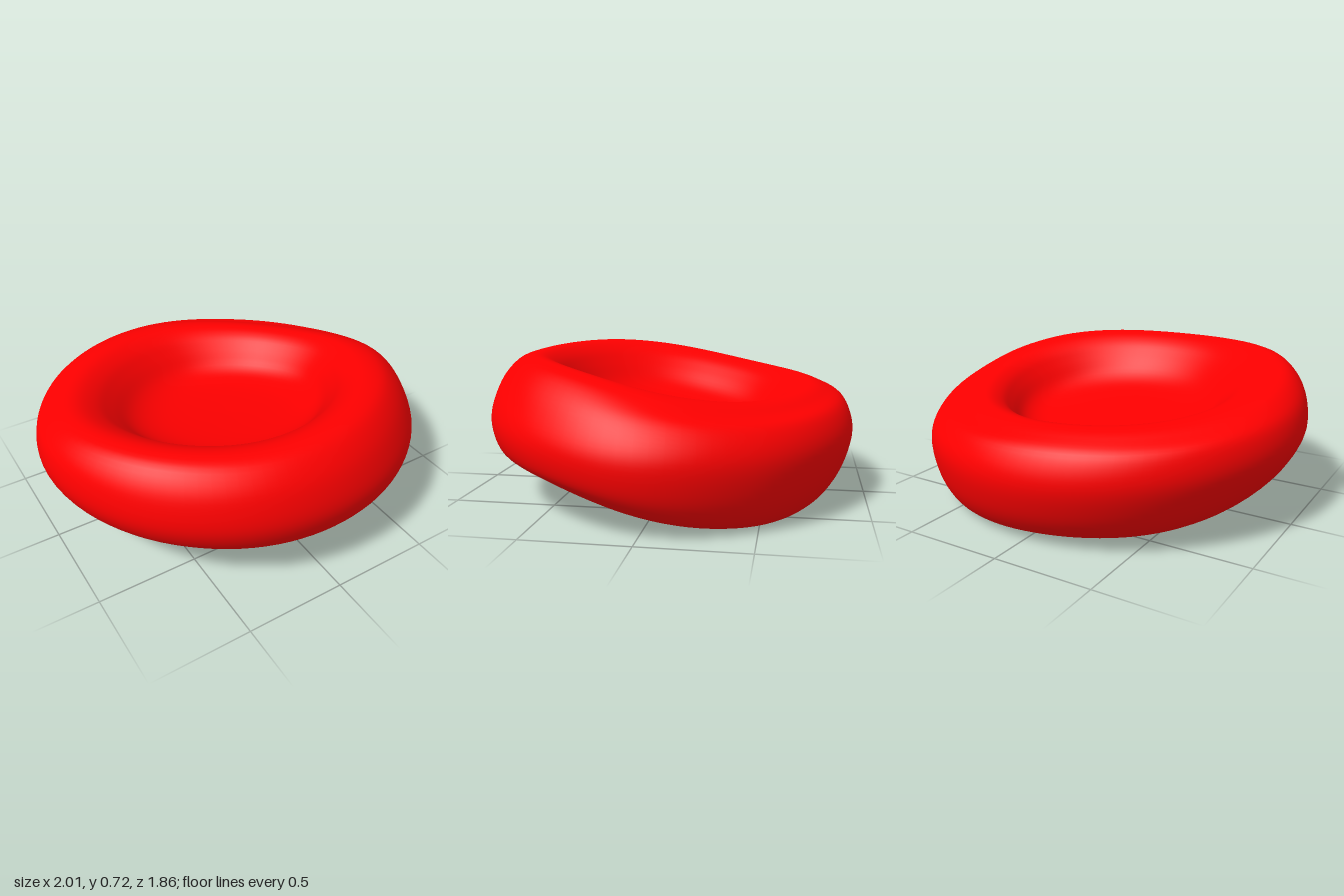
import * as THREE from 'three';
import { mergeVertices } from 'three/addons/utils/BufferGeometryUtils.js';

// Plan outline: radius every 30 degrees, from +z (front) round through +x
const OUTLINE = [0.932, 0.94, 0.965, 1.0, 0.955, 0.922, 0.93, 0.945, 0.965, 1.0, 0.985, 0.955];

// Smooth periodic interpolation of the outline radius
function outlineRadius(phi) {
  const n = OUTLINE.length;
  const t = ((phi / (Math.PI * 2)) * n + n) % n;
  const i = Math.floor(t), f = t - i;
  const [a, b, c, d] = [-1, 0, 1, 2].map((k) => OUTLINE[(i + k + n) % n]);
  return b + 0.5 * f * (c - a + f * (2 * a - 5 * b + 4 * c - d + f * (3 * (b - c) + d - a)));
}

// Half cross-section of the disc: nearly touching floor, swelling into a fat rim
const HALF = [
  [0, 0.005], [0.25, 0.012], [0.4, 0.03], [0.5, 0.075], [0.58, 0.16], [0.65, 0.225],
  [0.74, 0.262], [0.84, 0.248], [0.93, 0.183], [0.98, 0.095],
];

// Height of the mid surface: tilted and saddle-warped inside, flatter along the outer edge
function midHeight(x, z, r) {
  const inner = 0.36 - 0.035 * x + 0.15 * z + 0.03 * x * z - 0.08 * z * (z * z - x * x);
  const edge = 0.375 - 0.025 * x + 0.045 * z;
  return THREE.MathUtils.lerp(inner, edge, THREE.MathUtils.smoothstep(r, 0.84, 1.03));
}

function discGeometry() {
  const points = [
    ...HALF.map(([r, h]) => new THREE.Vector2(r, -h)),
    new THREE.Vector2(1, 0),
    ...HALF.slice().reverse().map(([r, h]) => new THREE.Vector2(r, h)),
  ];
  const profile = new THREE.SplineCurve(points).getPoints(90);
  profile.forEach((p) => { p.x = Math.max(p.x, 0); });
  let geo = new THREE.LatheGeometry(profile, 96);

  // Apply the uneven outline, lean the top to one side, and warp the disc
  const pos = geo.attributes.position;
  for (let i = 0; i < pos.count; i++) {
    const x = pos.getX(i), h = pos.getY(i), z = pos.getZ(i);
    const s = outlineRadius(Math.atan2(x, z));
    const y = h + midHeight(x * s, z * s, Math.hypot(x, z));
    pos.setXYZ(i, x * s - 0.2 * h, y, z * s);
  }

  // Weld the seam for continuous smooth normals
  geo.deleteAttribute('uv');
  geo.deleteAttribute('normal');
  geo = mergeVertices(geo, 1e-5);

  // Stand on the ground, centred
  geo.computeBoundingBox();
  const { min, max } = geo.boundingBox;
  geo.translate(-(min.x + max.x) / 2, -min.y, -(min.z + max.z) / 2);
  geo.computeVertexNormals();
  return geo;
}

export function createModel() {
  const group = new THREE.Group();
  group.name = 'bloodCell';
  const material = new THREE.MeshStandardMaterial({ color: 0xff0000 });
  const disc = new THREE.Mesh(discGeometry(), material);
  disc.name = 'biconcaveDisc';
  group.add(disc);
  return group;
}
